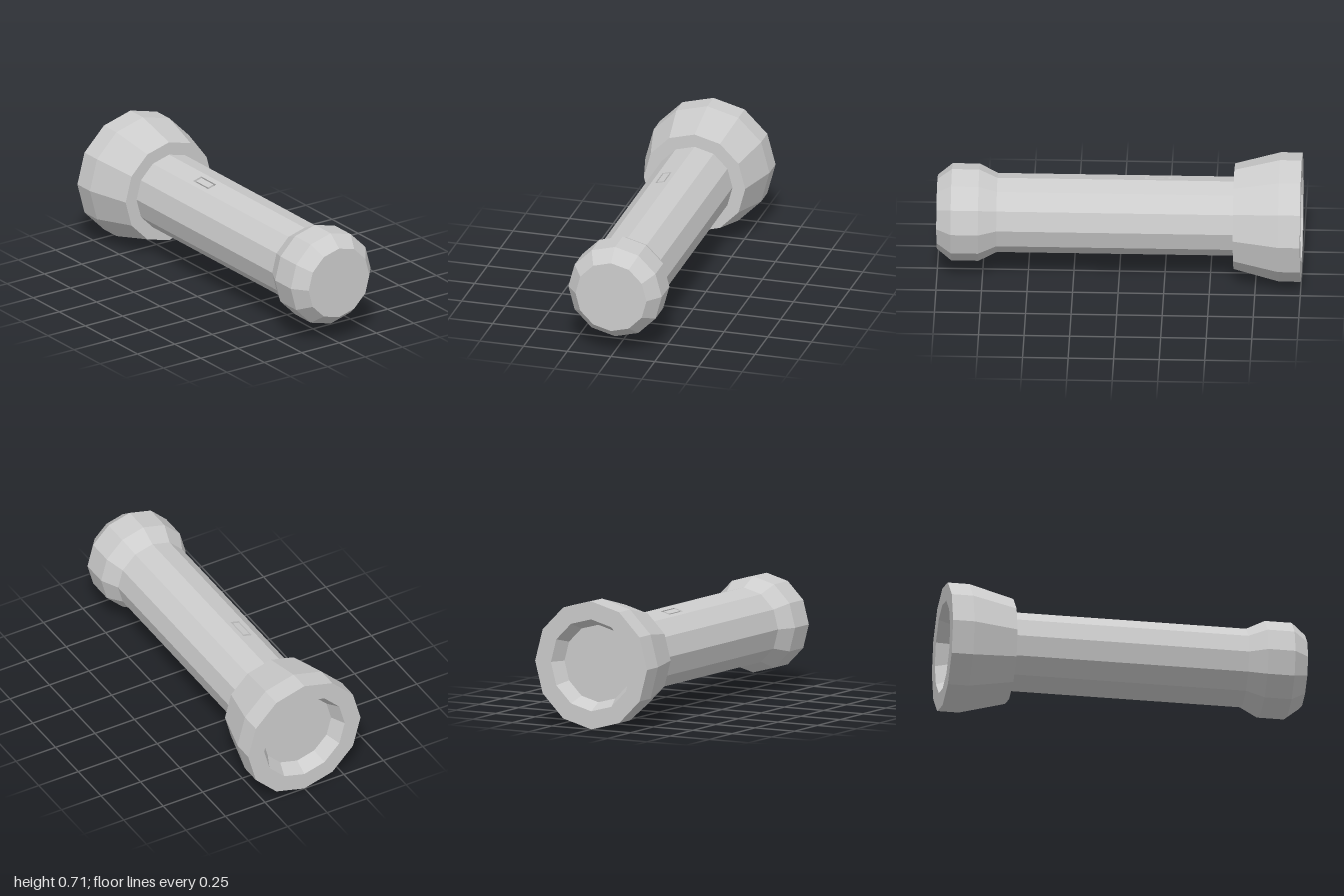
import * as THREE from 'three';

const SIDES = 12;
const AXIS_Y = 0.355;
const BODY_R = 0.217;
const BODY_BACK = -0.63;
const BODY_FRONT = 0.67;

const grey = (side = THREE.FrontSide) =>
  new THREE.MeshStandardMaterial({ color: 0xcccccc, flatShading: true, side });

// Turns a profile of [radius, z] pairs about the long axis
function turned(name, profile, segments = SIDES, start = 0, sweep = Math.PI * 2) {
  const points = profile.map(([r, z]) => new THREE.Vector2(r, z));
  const geometry = new THREE.LatheGeometry(points, segments, start, sweep);
  geometry.rotateX(Math.PI / 2);
  const mesh = new THREE.Mesh(geometry, grey());
  mesh.name = name;
  mesh.position.y = AXIS_Y;
  return mesh;
}

function rectangle(path, w, y0, y1) {
  path.moveTo(-w / 2, y0);
  path.lineTo(w / 2, y0);
  path.lineTo(w / 2, y1);
  path.lineTo(-w / 2, y1);
  path.closePath();
  return path;
}

// Body facet with a sunken slot and a sliding button
function switchFacet() {
  const group = new THREE.Group();
  group.name = 'switchPanel';
  group.position.y = AXIS_Y;
  group.rotation.z = Math.PI / SIDES;

  const height = BODY_R * Math.cos(Math.PI / SIDES);
  const width = 2 * BODY_R * Math.sin(Math.PI / SIDES);
  const slotW = 0.055, slotL = 0.145, slotZ = -0.21, depth = 0.02;

  const shape = rectangle(new THREE.Shape(), width, -BODY_FRONT, -BODY_BACK);
  shape.holes.push(rectangle(new THREE.Path(), slotW, -slotZ - slotL / 2, -slotZ + slotL / 2));
  const facet = new THREE.Mesh(new THREE.ShapeGeometry(shape).rotateX(-Math.PI / 2), grey());
  facet.name = 'switchFacet';
  facet.position.y = height;

  // Slot walls and floor: a box seen from inside, without its lid
  const box = new THREE.BoxGeometry(slotW, depth, slotL);
  const index = Array.from(box.index.array);
  index.splice(12, 6);
  box.setIndex(index);
  box.clearGroups();
  const slot = new THREE.Mesh(box, grey(THREE.BackSide));
  slot.name = 'switchSlot';
  slot.position.set(0, height - depth / 2, slotZ);

  const button = new THREE.Mesh(new THREE.BoxGeometry(0.038, 0.02, 0.115), grey());
  button.name = 'switchButton';
  button.position.set(0, height - 0.01, slotZ);

  group.add(facet, slot, button);
  return group;
}

export function createModel() {
  const model = new THREE.Group();
  model.name = 'flashlight';

  // Flared head with a recessed lens
  model.add(turned('lens', [[0, -0.92], [0.215, -0.92]]));
  model.add(turned('head', [
    [0.215, -0.92], [0.255, -1], [0.355, -1], [0.355, -0.88], [0.29, BODY_BACK], [BODY_R, BODY_BACK],
  ]));

  // Handle, leaving one facet open for the switch
  const step = (Math.PI * 2) / SIDES;
  model.add(turned('body', [[BODY_R, BODY_BACK], [BODY_R, BODY_FRONT]],
    SIDES - 1, Math.PI + step, Math.PI * 2 - step));
  model.add(switchFacet());

  // Bulged end cap
  model.add(turned('endCap', [
    [BODY_R, BODY_FRONT], [0.267, 0.77], [0.267, 0.92], [0.203, 1], [0, 1],
  ]));

  return model;
}
